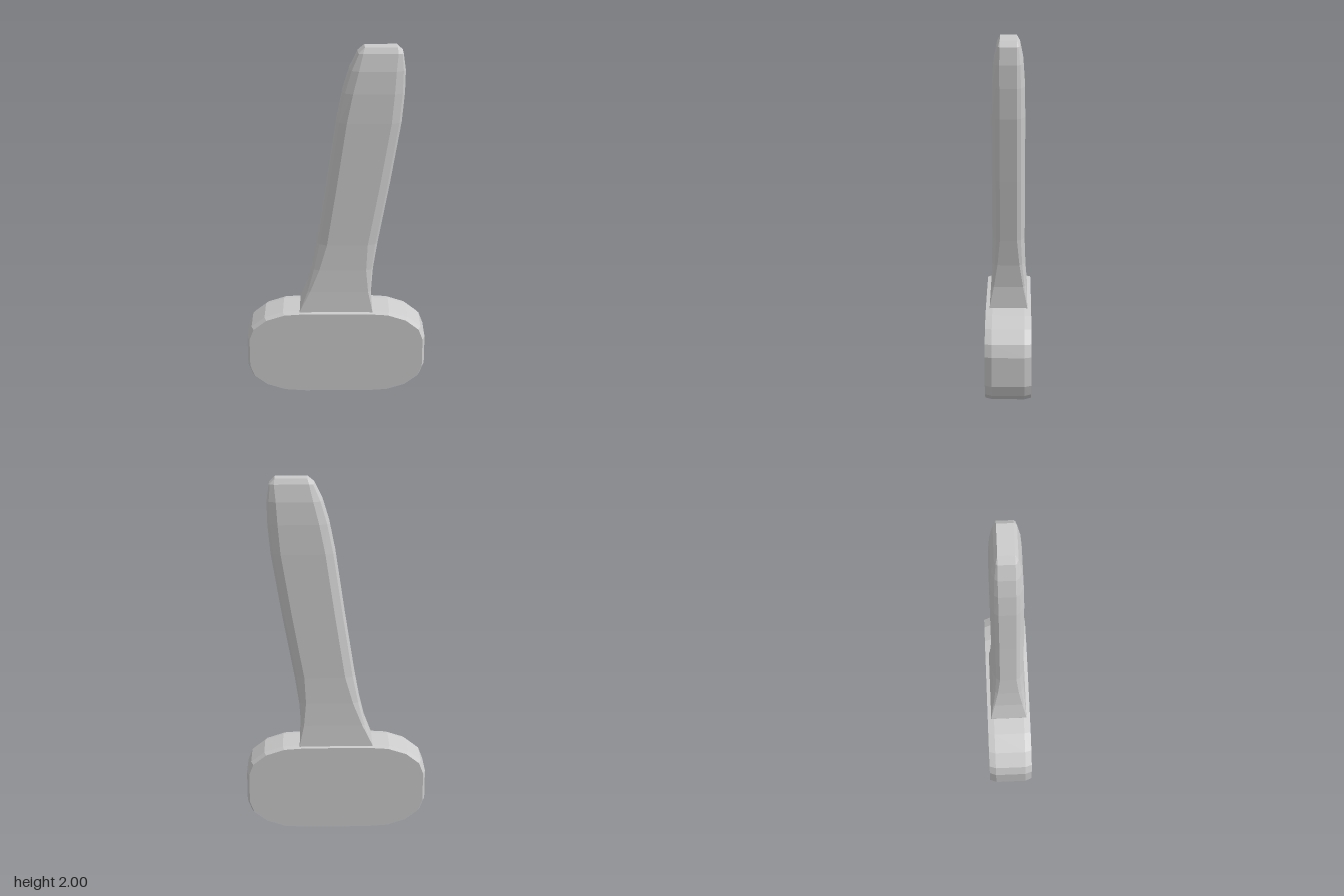
import * as THREE from 'three';

const material = new THREE.MeshStandardMaterial({ color: 0xcccccc, flatShading: true });

// Skins a list of equal-length rings (counter-clockwise seen along the loft) and caps both ends
function loft(rings) {
  const n = rings[0].length;
  const index = [];
  for (let r = 0; r < rings.length - 1; r++) {
    for (let i = 0; i < n; i++) {
      const a = r * n + i, b = r * n + (i + 1) % n;
      index.push(a, b, b + n, a, b + n, a + n);
    }
  }
  const last = (rings.length - 1) * n;
  for (let i = 1; i < n - 1; i++) {
    index.push(0, i + 1, i, last, last + i, last + i + 1);
  }
  const geometry = new THREE.BufferGeometry();
  geometry.setAttribute('position', new THREE.Float32BufferAttribute(rings.flat(2), 3));
  geometry.setIndex(index);
  geometry.computeVertexNormals();
  return geometry;
}

// Flattened oval head with slightly chamfered front and back rims
function createHead() {
  const quarter = [[0.505, 0.085], [0.48, 0.15], [0.405, 0.208], [0.3, 0.242], [0.18, 0.25]];
  const mirrored = [...quarter].reverse();
  const outline = [
    ...quarter,
    ...mirrored.map(([x, y]) => [-x, y]),
    ...quarter.map(([x, y]) => [-x, -y]),
    ...mirrored.map(([x, y]) => [x, -y]),
  ];
  const ring = (z, sx, sy) => outline.map(([x, y]) => [x * sx, 0.25 + y * sy, z]);
  const geometry = loft([
    ring(-0.125, 0.972, 0.98), ring(-0.088, 1, 1),
    ring(0.088, 1, 1), ring(0.125, 0.972, 0.98),
  ]);
  const mesh = new THREE.Mesh(geometry, material);
  mesh.name = 'head';
  return mesh;
}

// Leaning handle: square foot, softened edges along the grip, blunt tip
function createHandle() {
  // height, left edge, right edge, half depth, half width of side flat, edge softening
  const sections = [
    [0.48, -0.208, 0.206, 0.105, 0.105, 0],
    [0.50, -0.205, 0.205, 0.104, 0.104, 0],
    [0.62, -0.162, 0.196, 0.096, 0.08, 0.3],
    [0.75, -0.132, 0.206, 0.09, 0.06, 0.7],
    [0.90, -0.105, 0.23, 0.088, 0.046, 1],
    [1.25, -0.05, 0.293, 0.088, 0.045, 1],
    [1.60, 0.002, 0.35, 0.088, 0.045, 1],
    [1.76, 0.034, 0.364, 0.085, 0.045, 1],
    [1.88, 0.07, 0.366, 0.077, 0.045, 0.9],
    [1.97, 0.114, 0.353, 0.06, 0.044, 0.5],
    [2.00, 0.15, 0.322, 0.043, 0.043, 0],
  ];
  const rings = sections.map(([y, left, right, depth, flat, s]) => {
    const mid = flat + (depth - flat) * 0.5;
    const corner = [[0, flat], [0.013 * s, mid], [0.055 * s, depth]];
    const back = [...corner].reverse();
    return [
      ...corner.map(([d, z]) => [right - d, y, -z]),
      ...back.map(([d, z]) => [left + d, y, -z]),
      ...corner.map(([d, z]) => [left + d, y, z]),
      ...back.map(([d, z]) => [right - d, y, z]),
    ];
  });
  const mesh = new THREE.Mesh(loft(rings), material);
  mesh.name = 'handle';
  return mesh;
}

export function createModel() {
  const model = new THREE.Group();
  model.name = 'mallet';
  model.add(createHead(), createHandle());
  return model;
}
